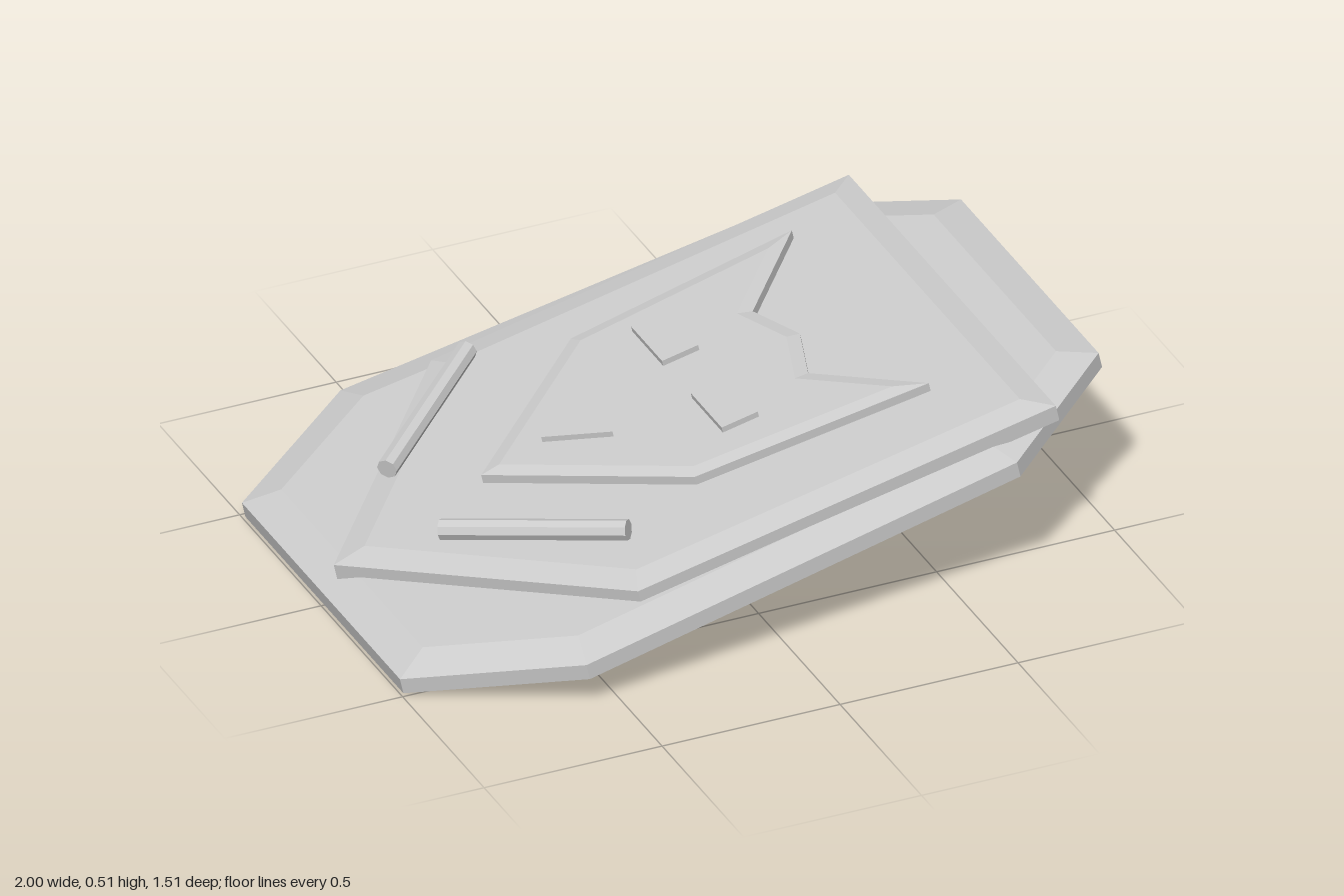
import * as THREE from 'three';

const material = new THREE.MeshStandardMaterial({ color: 0xcccccc, flatShading: true });

// Complete a half outline of [x, z >= 0] points by mirroring it across z = 0.
function mirrored(half) {
  const near = half.map(([x, z]) => new THREE.Vector2(x, -z));
  const far = half.filter(([, z]) => z > 0).reverse().map(([x, z]) => new THREE.Vector2(x, z));
  return [...near, ...far];
}

// Move every corner inwards by a constant distance from both of its edges.
function insetOutline(points, distance) {
  const inward = (a, b) => new THREE.Vector2(a.y - b.y, b.x - a.x).normalize();
  return points.map((p, i) => {
    const n1 = inward(points.at(i - 1), p);
    const n2 = inward(p, points[(i + 1) % points.length]);
    return n1.clone().add(n2).multiplyScalar(distance / (1 + n1.dot(n2))).add(p);
  });
}

// Flat plate with upright sides and an optional chamfer around the top.
function plate(name, points, bottom, height, inset = 0, rise = 0) {
  const rings = [[points, bottom], [points, bottom + height]];
  if (inset) rings.push([insetOutline(points, inset), bottom + height + rise]);
  const count = points.length;
  const positions = rings.flatMap(([ring, h]) => ring.flatMap((p) => [p.x, h, -p.y]));
  const index = [];
  for (let r = 0; r < rings.length - 1; r++) {
    for (let i = 0; i < count; i++) {
      const j = (i + 1) % count;
      const a = r * count + i, b = r * count + j;
      index.push(a, b, b + count, a, b + count, a + count);
    }
  }
  const last = (rings.length - 1) * count;
  for (const [a, b, c] of THREE.ShapeUtils.triangulateShape(rings.at(-1)[0], [])) {
    index.push(last + a, last + b, last + c);
  }
  for (const [a, b, c] of THREE.ShapeUtils.triangulateShape(points, [])) index.push(c, b, a);
  let geometry = new THREE.BufferGeometry();
  geometry.setAttribute('position', new THREE.Float32BufferAttribute(positions, 3));
  geometry.setIndex(index);
  geometry = geometry.toNonIndexed();
  geometry.computeVertexNormals();
  const mesh = new THREE.Mesh(geometry, material);
  mesh.name = name;
  return mesh;
}

// Straight eight-sided bar between two points.
function bar(name, start, end, radius) {
  const direction = end.clone().sub(start);
  const mesh = new THREE.Mesh(new THREE.CylinderGeometry(radius, radius, direction.length(), 8), material);
  mesh.position.copy(start).add(end).multiplyScalar(0.5);
  mesh.quaternion.setFromUnitVectors(new THREE.Vector3(0, 1, 0), direction.normalize());
  mesh.name = name;
  return mesh;
}

export function createModel() {
  const model = new THREE.Group();
  model.name = 'badge';

  // The whole stack of plates leans up towards +x
  const stack = new THREE.Group();
  stack.name = 'tiltedStack';
  stack.rotation.z = 0.2187;
  stack.position.set(0.005, 0.221, 0);
  model.add(stack);

  // Eight-cornered base
  const base = mirrored([[-1.02, 0.485], [-0.61, 0.755], [0.65, 0.71], [1.02, 0.422]]);
  stack.add(plate('basePlate', base, 0, 0.045, 0.095, 0.026));

  // Pointed shield over the base
  const shield = mirrored([[-0.97, 0], [-0.392, 0.635], [0.81, 0.635]]);
  stack.add(plate('shieldPlate', shield, 0.058, 0.046, 0.068, 0.016));

  // Mask with two swept points
  const mask = mirrored([[-0.53, 0], [-0.094, 0.38], [0.561, 0.42], [0.331, 0.17], [0.387, 0]]);
  stack.add(plate('maskPlate', mask, 0.15, 0.025, 0.035, 0.008));

  // Raised triangle
  stack.add(plate('nose', mirrored([[-0.35, 0], [-0.193, 0.103]]), 0.192, 0.016));

  for (const [side, s] of [['front', 1], ['back', -1]]) {
    // Raised rectangles
    const eye = new THREE.Mesh(new THREE.BoxGeometry(0.104, 0.016, 0.19), material);
    eye.position.set(0.091, 0.2, s * 0.183);
    eye.name = `${side}Eye`;
    stack.add(eye);

    // Slanted bars along the pointed end
    const start = new THREE.Vector3(-0.72, 0.192, s * 0.165);
    const end = new THREE.Vector3(-0.335, 0.192, s * 0.495);
    stack.add(bar(`${side}Bar`, start, end, 0.028));
  }
  return model;
}
